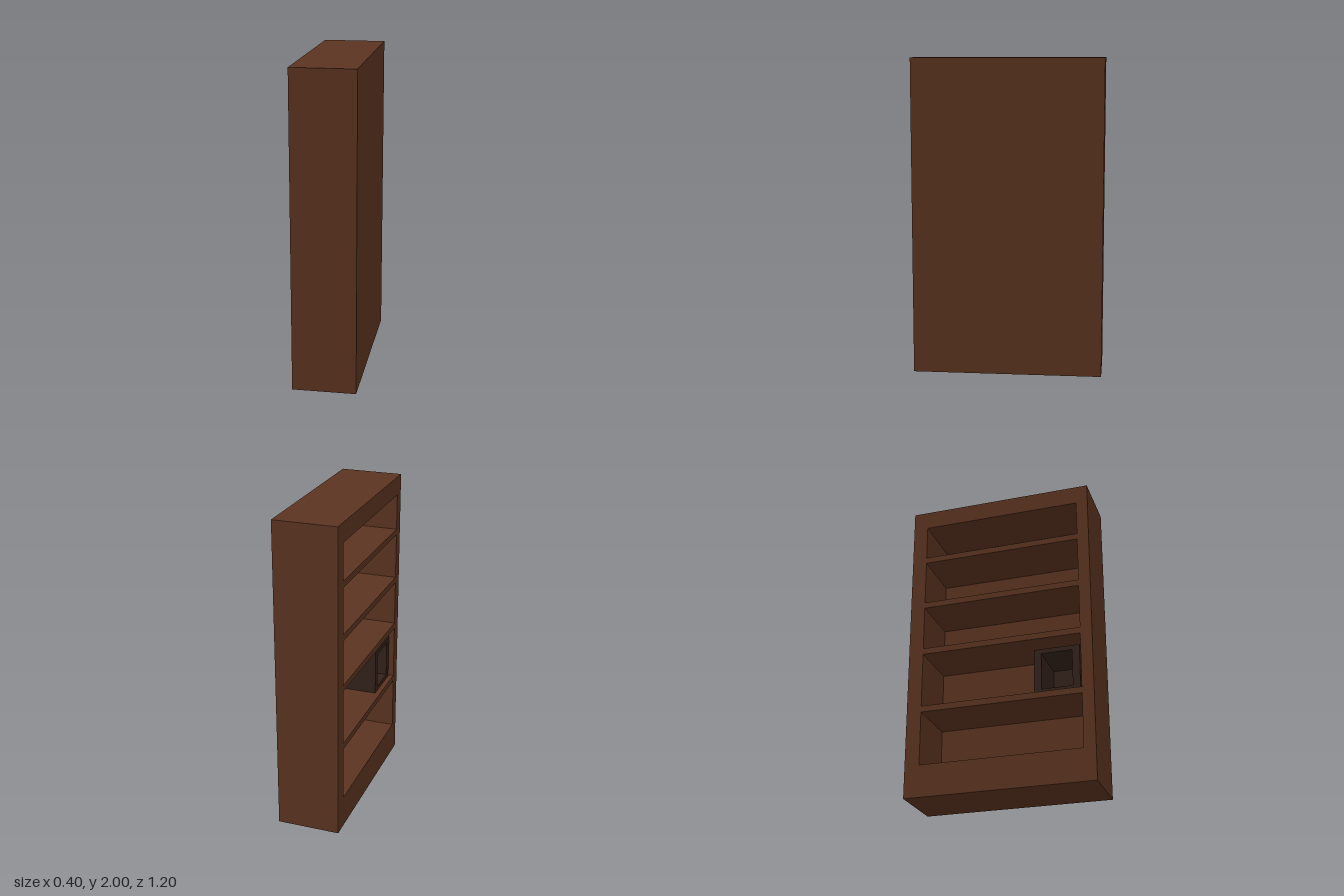
import * as THREE from 'three';

const wood = new THREE.MeshStandardMaterial({ color: 0x5c3420 });
const darkWood = new THREE.MeshStandardMaterial({ color: 0x33221a });

// Box given by its extents [min, max] on each axis
function slab(name, [x0, x1], [y0, y1], [z0, z1], material = wood) {
  const mesh = new THREE.Mesh(new THREE.BoxGeometry(x1 - x0, y1 - y0, z1 - z0), material);
  mesh.position.set((x0 + x1) / 2, (y0 + y1) / 2, (z0 + z1) / 2);
  mesh.name = name;
  return mesh;
}

// Hollow crate, open towards -x
function crate(x, y, z, wall, rim) {
  const group = new THREE.Group();
  group.name = 'storageBox';
  const innerY = [y[0] + rim, y[1] - rim];
  const innerX = [x[0], x[1] - rim];
  group.add(
    slab('boxBack', [x[1] - rim, x[1]], y, z, darkWood),
    slab('boxFloor', innerX, [y[0], innerY[0]], z, darkWood),
    slab('boxLid', innerX, [innerY[1], y[1]], z, darkWood),
    slab('boxSide', innerX, innerY, [z[0], z[0] + wall], darkWood),
    slab('boxSide', innerX, innerY, [z[1] - wall, z[1]], darkWood)
  );
  return group;
}

export function createModel() {
  const model = new THREE.Group();
  model.name = 'bookcase';
  const depth = [-0.2, 0.17]; // open side faces -x
  const inside = [-0.505, 0.525];
  const floor = 0.205, ceiling = 1.88;

  // Carcass
  model.add(
    slab('backPanel', [0.17, 0.2], [0, 2], [-0.6, 0.6]),
    slab('plinth', depth, [0, floor], [-0.6, 0.6]),
    slab('topPanel', depth, [ceiling, 2], [-0.6, 0.6]),
    slab('sidePanel', depth, [floor, ceiling], [-0.6, inside[0]]),
    slab('sidePanel', depth, [floor, ceiling], [inside[1], 0.6])
  );

  // Shelves, by the height of their upper face
  for (const top of [0.59, 0.985, 1.315, 1.65]) {
    model.add(slab('shelf', depth, [top - 0.04, top], inside));
  }

  // Box standing on the lowest shelf
  model.add(crate([-0.167, 0.153], [0.59, 0.886], [0.22, 0.51], 0.047, 0.03));
  return model;
}
